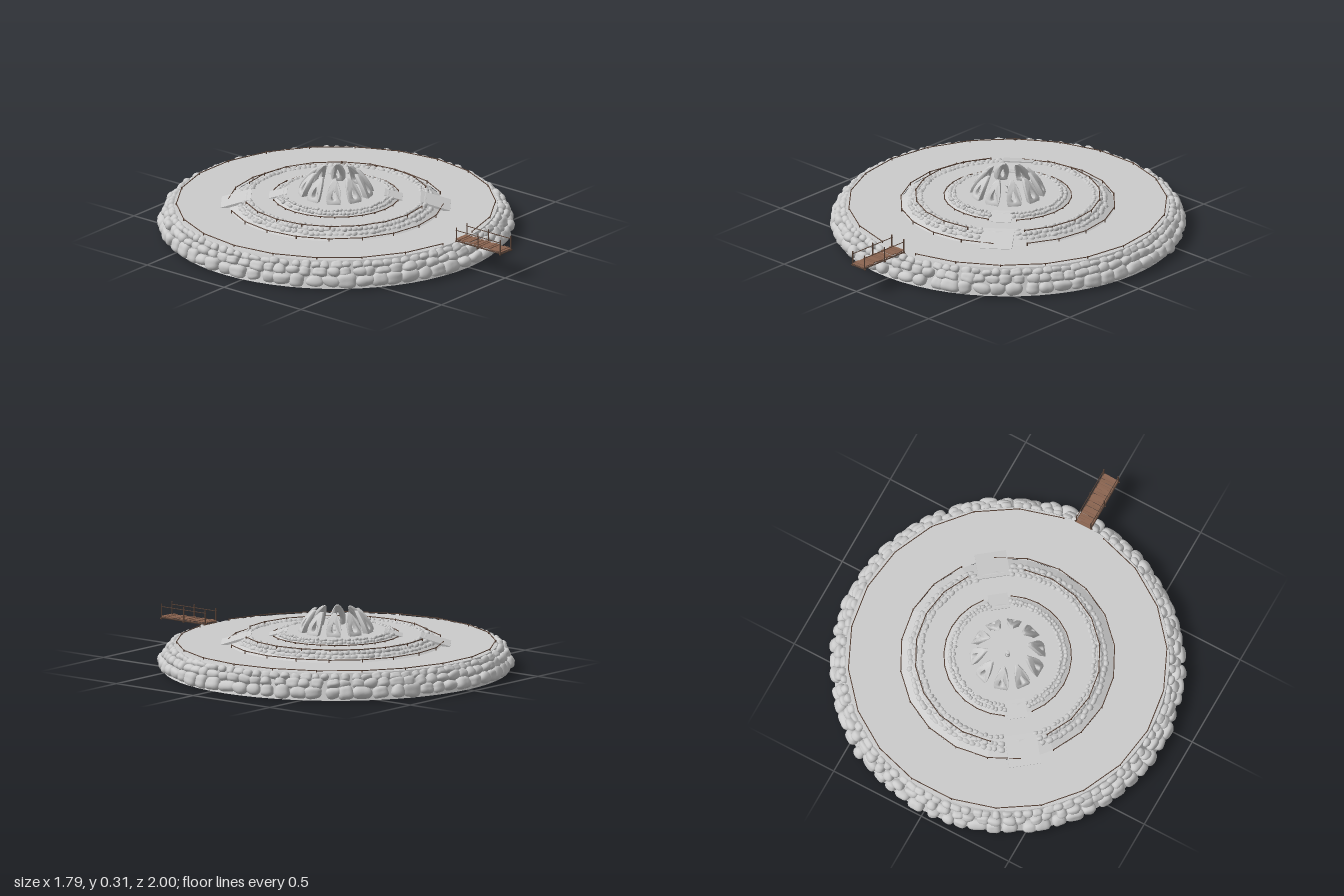
import * as THREE from 'three';
import { mergeGeometries, mergeVertices, toCreasedNormals } from 'three/addons/utils/BufferGeometryUtils.js';

const stoneMat = new THREE.MeshStandardMaterial({ color: 0xcccccc });
const shellMat = new THREE.MeshStandardMaterial({ color: 0xcccccc, side: THREE.DoubleSide });
const facetMat = new THREE.MeshStandardMaterial({ color: 0xcccccc, side: THREE.DoubleSide, flatShading: true });
const woodMat = new THREE.MeshStandardMaterial({ color: 0x8a6450 });
const darkWoodMat = new THREE.MeshStandardMaterial({ color: 0x5a4438 });

const RAMP_ANGLE = 0.916;
let seed = 7;
const rand = () => (seed = (seed * 16807) % 2147483647) / 2147483647;
const vary = (amount) => 1 + (rand() - 0.5) * 2 * amount;
const polar = (r, a, y) => new THREE.Vector3(Math.cos(a) * r, y, Math.sin(a) * r);

function add(parent, name, geometry, material) {
  const mesh = new THREE.Mesh(geometry, material);
  mesh.name = name;
  parent.add(mesh);
  return mesh;
}

// Angular distance to the nearer of the two ramps
function rampGap(a) {
  const d = (((a - RAMP_ANGLE) % Math.PI) + Math.PI) % Math.PI;
  return Math.min(d, Math.PI - d);
}

// Rounded, slightly squared boulder
function boulder(detail, w, h, d) {
  let g = new THREE.IcosahedronGeometry(1, detail);
  g.deleteAttribute('uv');
  g.deleteAttribute('normal');
  g = mergeVertices(g, 1e-4);
  const p = g.attributes.position;
  const v = new THREE.Vector3();
  const k = rand() * 6;
  for (let i = 0; i < p.count; i++) {
    v.fromBufferAttribute(p, i);
    const square = Math.pow(v.x ** 4 + v.y ** 4 + v.z ** 4, -0.14);
    const bump = 1 + 0.07 * Math.sin(3 * v.x + k) + 0.06 * Math.sin(4 * v.y + 2 * k) + 0.05 * Math.sin(3 * v.z - k);
    v.multiplyScalar(square * bump * 0.92);
    p.setXYZ(i, v.x * w, v.y * h, v.z * d);
  }
  g.computeVertexNormals();
  return g;
}

// Rows of stones: { n, r, y, size: [tangent, height, radial], tilt }
function stoneWall(parent, name, rows, detail, gap) {
  const parts = [];
  const dummy = new THREE.Object3D();
  dummy.rotation.order = 'YXZ';
  rows.forEach(({ n, r, y, size, tilt }, row) => {
    for (let i = 0; i < n; i++) {
      const a = ((i + row * 0.5 + (rand() - 0.5) * 0.3) / n) * Math.PI * 2;
      if (rampGap(a) < gap) continue;
      const g = boulder(detail, size[0] * vary(0.2), size[1] * vary(0.15), size[2] * vary(0.15));
      dummy.position.copy(polar(r + (rand() - 0.5) * 0.008, a, y * vary(0.02)));
      dummy.rotation.set(-tilt, Math.PI / 2 - a, (rand() - 0.5) * 0.4);
      dummy.updateMatrix();
      parts.push(g.applyMatrix4(dummy.matrix));
    }
  });
  add(parent, name, mergeGeometries(parts), stoneMat);
}

// Flat terrace floor with an optional hole
function floor(parent, name, inner, outer, y, sides) {
  const g = inner > 0 ? new THREE.RingGeometry(inner, outer, sides) : new THREE.CircleGeometry(outer, sides);
  add(parent, name, g.rotateX(-Math.PI / 2), shellMat).position.y = y;
}

// Sloping bank, open above and below
function bank(parent, name, rTop, yTop, rBase, yBase, sides, material) {
  const g = new THREE.CylinderGeometry(rTop, rBase, yTop - yBase, sides, 1, true, Math.PI / 2);
  add(parent, name, g, material).position.y = (yTop + yBase) / 2;
}

// Straight bar between two points
function bar(a, b, radius) {
  const dir = b.clone().sub(a);
  const g = new THREE.CylinderGeometry(radius, radius, dir.length(), 5);
  g.applyQuaternion(new THREE.Quaternion().setFromUnitVectors(new THREE.Vector3(0, 1, 0), dir.normalize()));
  return g.translate((a.x + b.x) / 2, (a.y + b.y) / 2, (a.z + b.z) / 2);
}

// Low polygonal railing with short posts, open where skip(angle) is true
function railing(parent, name, r, y, height, n, skip) {
  const parts = [];
  for (let i = 0; i < n; i++) {
    const a = (i / n) * Math.PI * 2;
    const b = ((i + 1) / n) * Math.PI * 2;
    if (!skip(a)) parts.push(bar(polar(r, a, y), polar(r, a, y + height * 1.25), 0.003));
    if (!skip((a + b) / 2)) parts.push(bar(polar(r, a, y + height), polar(r, b, y + height), 0.0025));
  }
  add(parent, name, mergeGeometries(parts), darkWoodMat);
}

// Sloped slab from the outer low end to the inner high end
function ramp(parent, name, angle, rOut, yOut, rIn, yIn, width) {
  const shape = new THREE.Shape([[rIn, yIn], [rIn, yIn - 0.012], [rOut, yOut - 0.012], [rOut, yOut]]
    .map(([x, y]) => new THREE.Vector2(x, y)));
  const g = new THREE.ExtrudeGeometry(shape, { depth: width, bevelEnabled: false }).translate(0, 0, -width / 2);
  add(parent, name, g, stoneMat).rotation.y = -angle;
}

// Curved petal with a teardrop opening, leaning inwards
function petalGeometry() {
  const s = new THREE.Shape();
  s.moveTo(-0.03, 0);
  s.bezierCurveTo(-0.044, 0.045, -0.024, 0.09, -0.006, 0.107);
  s.lineTo(0.006, 0.107);
  s.bezierCurveTo(0.024, 0.09, 0.044, 0.045, 0.03, 0);
  const h = new THREE.Path();
  h.moveTo(0, 0.078);
  h.bezierCurveTo(-0.012, 0.06, -0.026, 0.018, 0, 0.016);
  h.bezierCurveTo(0.026, 0.018, 0.012, 0.06, 0, 0.078);
  s.holes.push(h);
  const g = new THREE.ExtrudeGeometry(s, {
    depth: 0.028, curveSegments: 10, bevelEnabled: true, bevelSize: 0.003, bevelThickness: 0.004, bevelSegments: 2,
  });
  const p = g.attributes.position;
  for (let i = 0; i < p.count; i++) {
    const t = p.getY(i) / 0.11;
    const depth = (p.getZ(i) - 0.028) * (1 - 0.45 * t);
    p.setX(i, p.getX(i) * (1 + depth * 9));
    p.setZ(i, 0.185 - 0.025 * t - 0.042 * t * t + depth);
  }
  return toCreasedNormals(g, 0.7);
}

function buildBridge(parent) {
  const bridge = new THREE.Group();
  bridge.name = 'bridge';
  parent.add(bridge);
  const cx = 0.01;
  // Uneven planks
  for (let i = 0; i < 20; i++) {
    const plank = add(bridge, 'plank', new THREE.BoxGeometry(0.078 * vary(0.04), 0.005, 0.0135), woodMat);
    plank.position.set(cx, 0.141 + (rand() - 0.5) * 0.006, 0.71 + i * 0.0148);
    plank.rotation.set((rand() - 0.5) * 0.2, (rand() - 0.5) * 0.08, 0);
  }
  // Posts, handrails and beams on both sides
  for (const side of [-1, 1]) {
    const x = cx + side * 0.041;
    const at = (y, z) => new THREE.Vector3(x, y, z);
    for (const z of [0.71, 0.85, 0.995]) add(bridge, 'bridgePost', bar(at(0.125, z), at(0.205, z), 0.0035), darkWoodMat);
    add(bridge, 'bridgeRail', bar(at(0.19, 0.705), at(0.19, 0.998), 0.0022), darkWoodMat);
    add(bridge, 'bridgeBeam', bar(at(0.134, 0.705), at(0.134, 0.998), 0.004), darkWoodMat);
  }
  for (const z of [0.71, 0.85, 0.995]) {
    add(bridge, 'crossBeam', bar(new THREE.Vector3(cx - 0.05, 0.13, z), new THREE.Vector3(cx + 0.05, 0.13, z), 0.0035), darkWoodMat);
  }
}

export function createModel() {
  seed = 7;
  const model = new THREE.Group();
  const island = new THREE.Group();
  island.name = 'island';
  island.position.z = -0.1;
  model.add(island);

  // Lower terrace
  floor(island, 'lowerFloor', 0.535, 0.81, 0.13, 60);
  bank(island, 'lowerBank', 0.81, 0.13, 0.87, 0.0, 60, shellMat);
  stoneWall(island, 'lowerStones', [
    { n: 66, r: 0.863, y: 0.038, size: [0.044, 0.034, 0.032], tilt: 0.25 },
    { n: 80, r: 0.842, y: 0.079, size: [0.036, 0.026, 0.03], tilt: 0.5 },
    { n: 100, r: 0.82, y: 0.107, size: [0.028, 0.021, 0.024], tilt: 0.7 },
  ], 3, -1);
  railing(island, 'lowerRailing', 0.8, 0.125, 0.014, 22, (a) => Math.abs(a - Math.PI / 2) < 0.1);

  // Middle terrace
  floor(island, 'middleFloor', 0.315, 0.45, 0.172, 40);
  bank(island, 'middleBank', 0.45, 0.172, 0.54, 0.128, 20, facetMat);
  stoneWall(island, 'middleStones', [
    { n: 100, r: 0.487, y: 0.146, size: [0.019, 0.014, 0.016], tilt: 0.5 },
    { n: 105, r: 0.462, y: 0.162, size: [0.017, 0.013, 0.015], tilt: 0.6 },
    { n: 100, r: 0.434, y: 0.169, size: [0.015, 0.011, 0.014], tilt: 0.9 },
  ], 1, 0.17);
  railing(island, 'middleRailing', 0.54, 0.128, 0.016, 20, (a) => rampGap(a) < 0.17);
  railing(island, 'middleEdge', 0.465, 0.168, 0.014, 20, (a) => rampGap(a) < 0.2);

  // Upper terrace
  floor(island, 'upperFloor', 0, 0.265, 0.195, 40);
  bank(island, 'upperBank', 0.265, 0.195, 0.32, 0.17, 28, facetMat);
  stoneWall(island, 'upperStones', [
    { n: 90, r: 0.289, y: 0.183, size: [0.012, 0.01, 0.011], tilt: 0.5 },
    { n: 84, r: 0.268, y: 0.192, size: [0.011, 0.008, 0.011], tilt: 0.8 },
  ], 1, 0.19);
  railing(island, 'upperRailing', 0.32, 0.168, 0.01, 28, (a) => rampGap(a) < 0.17);

  // Ramps on opposite sides
  for (const a of [RAMP_ANGLE, RAMP_ANGLE + Math.PI]) {
    ramp(island, 'lowerRamp', a, 0.575, 0.132, 0.425, 0.178, 0.16);
    ramp(island, 'upperRamp', a, 0.335, 0.174, 0.245, 0.199, 0.1);
  }

  // Ring of petals
  const petal = petalGeometry();
  for (let i = 0; i < 10; i++) {
    const mesh = add(island, 'petal', petal, stoneMat);
    mesh.position.y = 0.193;
    mesh.rotation.y = Math.PI / 2 + (i / 10) * Math.PI * 2;
  }

  // Small central pedestal
  const profile = [[0, 0], [0.013, 0], [0.011, 0.006], [0.004, 0.014], [0.004, 0.026], [0.011, 0.034], [0.01, 0.038], [0, 0.038]];
  add(island, 'pedestal', new THREE.LatheGeometry(profile.map(([x, y]) => new THREE.Vector2(x, y)), 12), stoneMat).position.y = 0.195;

  buildBridge(model);
  return model;
}
